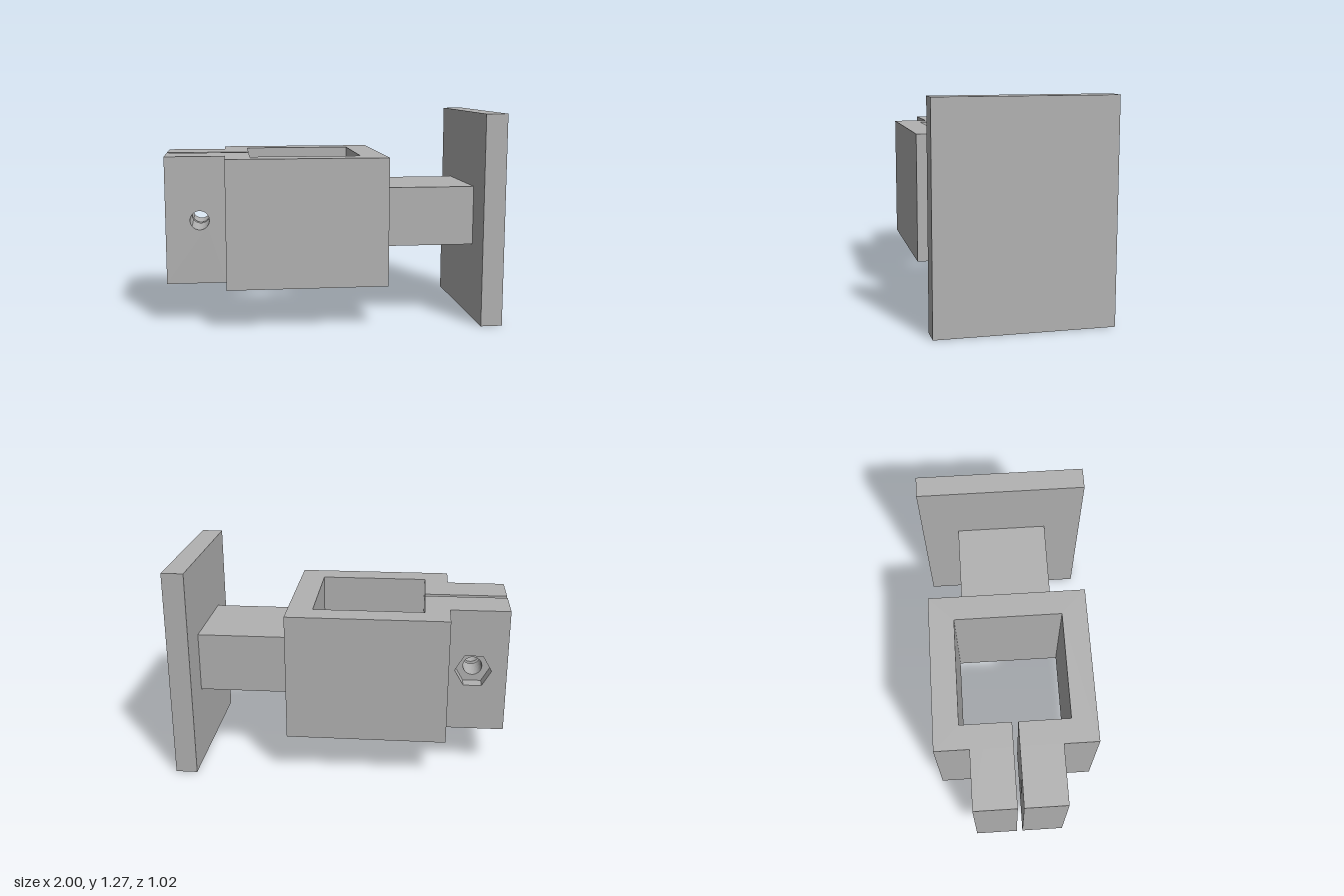
import * as THREE from 'three';

const BOTTOM = 0.255, TOP = 1.02;          // clamp height range
const BOLT = { x: -0.798, y: 0.638, r: 0.057, hex: 0.11 };

export function createModel() {
  const group = new THREE.Group();
  const grey = new THREE.MeshStandardMaterial({ color: 0xb2b2b2 });
  grey.name = 'grey';

  const add = (name, geometry) => {
    const mesh = new THREE.Mesh(geometry, grey);
    mesh.name = name;
    group.add(mesh);
    return mesh;
  };
  const box = (name, x0, x1, y0, y1, z0, z1) =>
    add(name, new THREE.BoxGeometry(x1 - x0, y1 - y0, z1 - z0))
      .position.set((x0 + x1) / 2, (y0 + y1) / 2, (z0 + z1) / 2);

  // Square collar, split by a narrow slot on its -x side
  const gap = 0.018, outer = 0.478, inner = 0.326;
  const outline = [
    [-0.645, gap], [-0.497, gap], [-0.497, inner], [0.16, inner],
    [0.16, -inner], [-0.497, -inner], [-0.497, -gap], [-0.645, -gap],
    [-0.645, -outer], [0.31, -outer], [0.31, outer], [-0.645, outer],
  ].map(([x, y]) => new THREE.Vector2(x, y));
  const collar = new THREE.ExtrudeGeometry(new THREE.Shape(outline),
    { depth: TOP - BOTTOM, bevelEnabled: false });
  collar.rotateX(-Math.PI / 2).translate(0, BOTTOM, 0);
  add('collar', collar);

  // Clamping lugs: slabs along z, pierced by a round or hexagonal hole
  const lug = (name, z0, z1, hexagonal) => {
    const shape = new THREE.Shape([
      new THREE.Vector2(-1, BOTTOM), new THREE.Vector2(-0.645, BOTTOM),
      new THREE.Vector2(-0.645, TOP), new THREE.Vector2(-1, TOP),
    ]);
    const radius = hexagonal ? BOLT.hex : BOLT.r;
    const sides = hexagonal ? 6 : 40;
    const points = Array.from({ length: sides }, (_, i) => {
      const a = -i / sides * Math.PI * 2;
      return new THREE.Vector2(BOLT.x + radius * Math.cos(a), BOLT.y + radius * Math.sin(a));
    });
    shape.holes.push(new THREE.Path(points));
    const geometry = new THREE.ExtrudeGeometry(shape, { depth: z1 - z0, bevelEnabled: false });
    add(name, geometry.translate(0, 0, z0));
  };
  lug('frontLug', gap, 0.271, false);
  lug('backLug', -0.191, -gap, false);
  lug('backLugNutPocket', -0.271, -0.191, true);

  // Arm and end plate
  box('arm', 0.31, 0.87, 0.46, 0.82, -0.28, 0.28);
  box('endPlate', 0.87, 1, 0, 1.272, -0.508, 0.508);

  return group;
}
